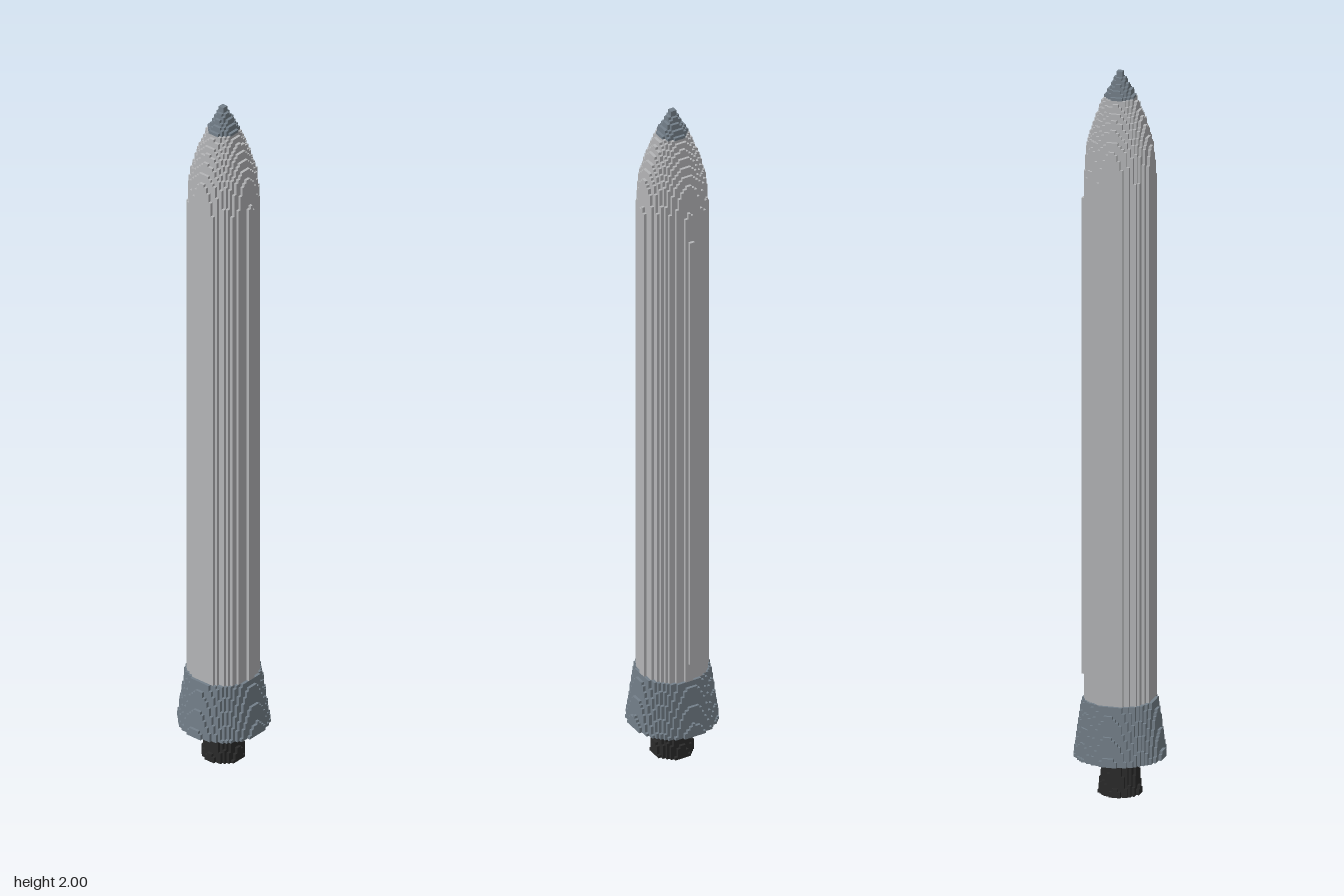
import * as THREE from 'three';

const S = 0.008;       // edge of one block
const LAYERS = 250;    // blocks from bottom to tip
const HALF = 16;       // half the block grid across
const SHIFT = 0.1;     // slight off-centre, leaves a narrow rib on +x and +z

// Radius along the height, as [y, radius] pairs
const bodyProfile = [[0.26, 0.092], [1.71, 0.092], [1.74, 0.0905], [1.8, 0.085],
  [1.87, 0.064], [1.93, 0.04], [2, 0.005]];
const skirtProfile = [[0.1, 0.121], [0.26, 0.098]];
const nozzleProfile = [[0, 0.056], [0.1, 0.044], [0.26, 0.03]];

function radiusAt(profile, y) {
  for (let n = 1; n < profile.length; n++) {
    const [y0, r0] = profile[n - 1], [y1, r1] = profile[n];
    if (y <= y1) return THREE.MathUtils.mapLinear(y, y0, y1, r0, r1) / S;
  }
  return 0;
}

// Which part fills the block (i, j, k), or null if it is empty
function partAt(i, j, k) {
  if (j < 0 || j >= LAYERS) return null;
  const y = (j + 0.5) * S;
  const d = Math.hypot(i + 0.5 - SHIFT, k + 0.5 - SHIFT);
  // Cable conduit along the +x side
  if (i >= 11 && i <= 12 && (k === 0 || k === -1) && y > 0.32 && y < 1.64) return 'conduit';
  if (y > 0.26) {
    if (d > radiusAt(bodyProfile, y)) return null;
    return y > 1.93 ? 'noseTip' : 'body';
  }
  // Hollow flared skirt around the nozzle
  if (y > 0.1) {
    const r = radiusAt(skirtProfile, y);
    if (d <= r && d > r - 2) return 'skirt';
  }
  // Hollow nozzle bell, closed above its throat
  const r = radiusAt(nozzleProfile, y);
  return d <= r && (y > 0.08 || d > r - 1.5) ? 'nozzle' : null;
}

// The six block faces: outward direction and two edges with u x v = direction
const FACES = [
  [[1, 0, 0], [0, 1, 0], [0, 0, 1]], [[-1, 0, 0], [0, 0, 1], [0, 1, 0]],
  [[0, 1, 0], [0, 0, 1], [1, 0, 0]], [[0, -1, 0], [1, 0, 0], [0, 0, 1]],
  [[0, 0, 1], [1, 0, 0], [0, 1, 0]], [[0, 0, -1], [0, 1, 0], [1, 0, 0]],
];

function addFace(out, cell, [n, u, v]) {
  const corner = (a, b) => {
    for (let c = 0; c < 3; c++) {
      out.position.push((cell[c] + Math.max(n[c], 0) + a * u[c] + b * v[c]) * S);
      out.normal.push(n[c]);
    }
  };
  for (const [a, b] of [[0, 0], [1, 0], [1, 1], [0, 0], [1, 1], [0, 1]]) corner(a, b);
}

export function createModel() {
  const mat = (name, color) => {
    const m = new THREE.MeshStandardMaterial({ color });
    m.name = name;
    return m;
  };
  const lightGrey = mat('light grey', 0xb4b5b7);
  const slate = mat('slate', 0x74808a);
  const black = mat('black', 0x2a2a2a);
  const materials = { body: lightGrey, conduit: lightGrey, noseTip: slate, skirt: slate, nozzle: black };

  // Collect every exposed block face by part
  const parts = {};
  for (const name in materials) parts[name] = { position: [], normal: [] };
  for (let j = 0; j < LAYERS; j++)
    for (let i = -HALF; i < HALF; i++)
      for (let k = -HALF; k < HALF; k++) {
        const part = partAt(i, j, k);
        if (!part) continue;
        for (const face of FACES) {
          const [x, y, z] = face[0];
          if (!partAt(i + x, j + y, k + z)) addFace(parts[part], [i, j, k], face);
        }
      }

  const rocket = new THREE.Group();
  rocket.name = 'rocket';
  for (const name in parts) {
    const geometry = new THREE.BufferGeometry();
    for (const key of ['position', 'normal'])
      geometry.setAttribute(key, new THREE.Float32BufferAttribute(parts[name][key], 3));
    const mesh = new THREE.Mesh(geometry, materials[name]);
    mesh.name = name;
    rocket.add(mesh);
  }
  return rocket;
}
